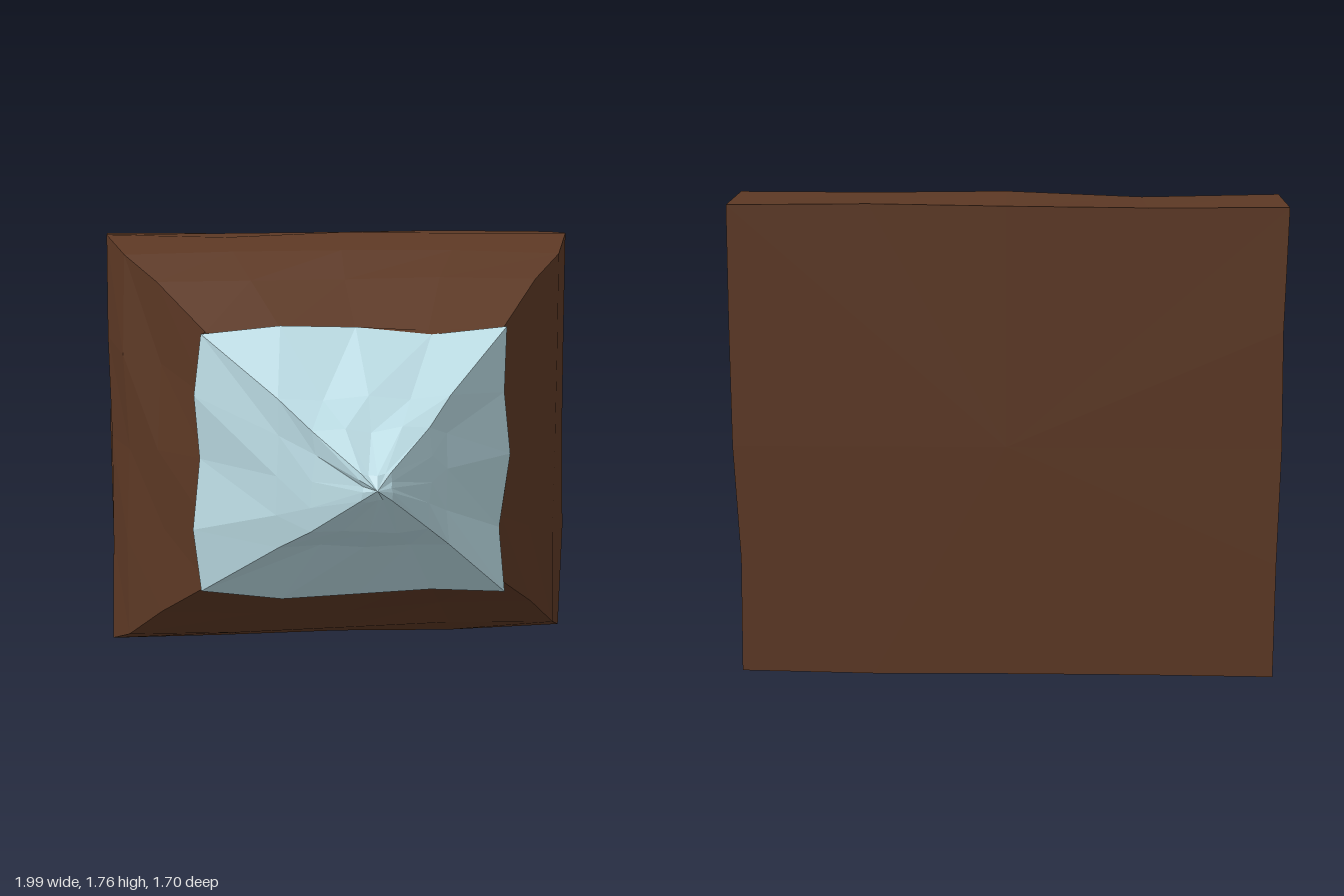
import * as THREE from 'three';

// Small seeded noise in -1..1
let seed = 11;
function noise() {
  seed = (seed * 16807) % 2147483647;
  return (seed / 2147483647) * 2 - 1;
}

const SEG = 4; // segments per side of the square rings

// Square ring, counter-clockwise seen from the front, with slightly uneven points
function ring(z, halfX, bottom, top, wobble = 0, wobbleZ = wobble) {
  const corners = [[halfX, top], [-halfX, top], [-halfX, bottom], [halfX, bottom]];
  const pts = [];
  for (let side = 0; side < 4; side++) {
    const [x0, y0] = corners[side], [x1, y1] = corners[(side + 1) % 4];
    for (let i = 0; i < SEG; i++) {
      const t = i / SEG, k = i === 0 ? 0.3 : 1;
      pts.push(new THREE.Vector3(
        x0 + (x1 - x0) * t + noise() * wobble * k,
        y0 + (y1 - y0) * t + noise() * wobble * k,
        z + noise() * wobbleZ * k));
    }
  }
  return pts;
}

// Faceted skin through the rings, from back to front, with optional fan caps
function loft(rings, backCap, tip) {
  const out = [];
  const tri = (...p) => p.forEach((v) => out.push(v.x, v.y, v.z));
  const n = SEG * 4;
  for (let r = 0; r < rings.length - 1; r++) {
    const a = rings[r], b = rings[r + 1];
    for (let i = 0; i < n; i++) {
      const j = (i + 1) % n;
      tri(a[i], a[j], b[j]);
      tri(a[i], b[j], b[i]);
    }
  }
  const first = rings[0], last = rings[rings.length - 1];
  for (let i = 0; i < n; i++) {
    const j = (i + 1) % n;
    if (backCap) tri(backCap, first[j], first[i]);
    if (tip) tri(tip, last[i], last[j]);
  }
  const geo = new THREE.BufferGeometry();
  geo.setAttribute('position', new THREE.Float32BufferAttribute(out, 3));
  geo.computeVertexNormals();
  return geo;
}

export function createModel() {
  const group = new THREE.Group();
  const brown = new THREE.MeshStandardMaterial({ color: 0x5c3824, flatShading: true });
  brown.name = 'darkBrown';
  const paleBlue = new THREE.MeshStandardMaterial({ color: 0xb9d9e1, flatShading: true });
  paleBlue.name = 'paleBlue';

  // Uneven rim where the base meets the spike
  const rim = [
    [0.60, 1.41, 0.17], [0.30, 1.38, 0.16], [0, 1.41, 0.14], [-0.30, 1.42, 0.17],
    [-0.61, 1.39, 0.17], [-0.64, 1.15, 0.18], [-0.62, 0.90, 0.17], [-0.65, 0.62, 0.19],
    [-0.62, 0.37, 0.18], [-0.30, 0.33, 0.18], [0, 0.34, 0.17], [0.30, 0.355, 0.18],
    [0.60, 0.34, 0.19], [0.58, 0.60, 0.16], [0.62, 0.90, 0.17], [0.59, 1.15, 0.185],
  ].map((p) => new THREE.Vector3(...p));

  // Heavy base: flat back, straight block, then a taper to a narrow neck and rim
  const base = new THREE.Mesh(loft([
    ring(-0.85, 0.985, 0.005, 1.755, 0.008, 0.004),
    ring(-0.52, 0.985, 0.015, 1.755, 0.012),
    ring(-0.30, 0.91, 0.085, 1.68, 0.016),
    ring(-0.14, 0.775, 0.215, 1.58, 0.016),
    ring(0.13, 0.59, 0.38, 1.395, 0.006),
    rim,
  ], new THREE.Vector3(0, 0.88, -0.845)), brown);
  base.name = 'base';

  // Four-sided spike with concave flanks
  const spike = new THREE.Mesh(loft([
    rim,
    ring(0.45, 0.33, 0.59, 1.17, 0.014),
    ring(0.64, 0.22, 0.69, 1.07, 0.016),
    ring(0.82, 0.055, 0.835, 0.935, 0.008),
  ], null, new THREE.Vector3(0, 0.875, 0.85)), paleBlue);
  spike.name = 'spike';

  group.add(base, spike);
  return group;
}
